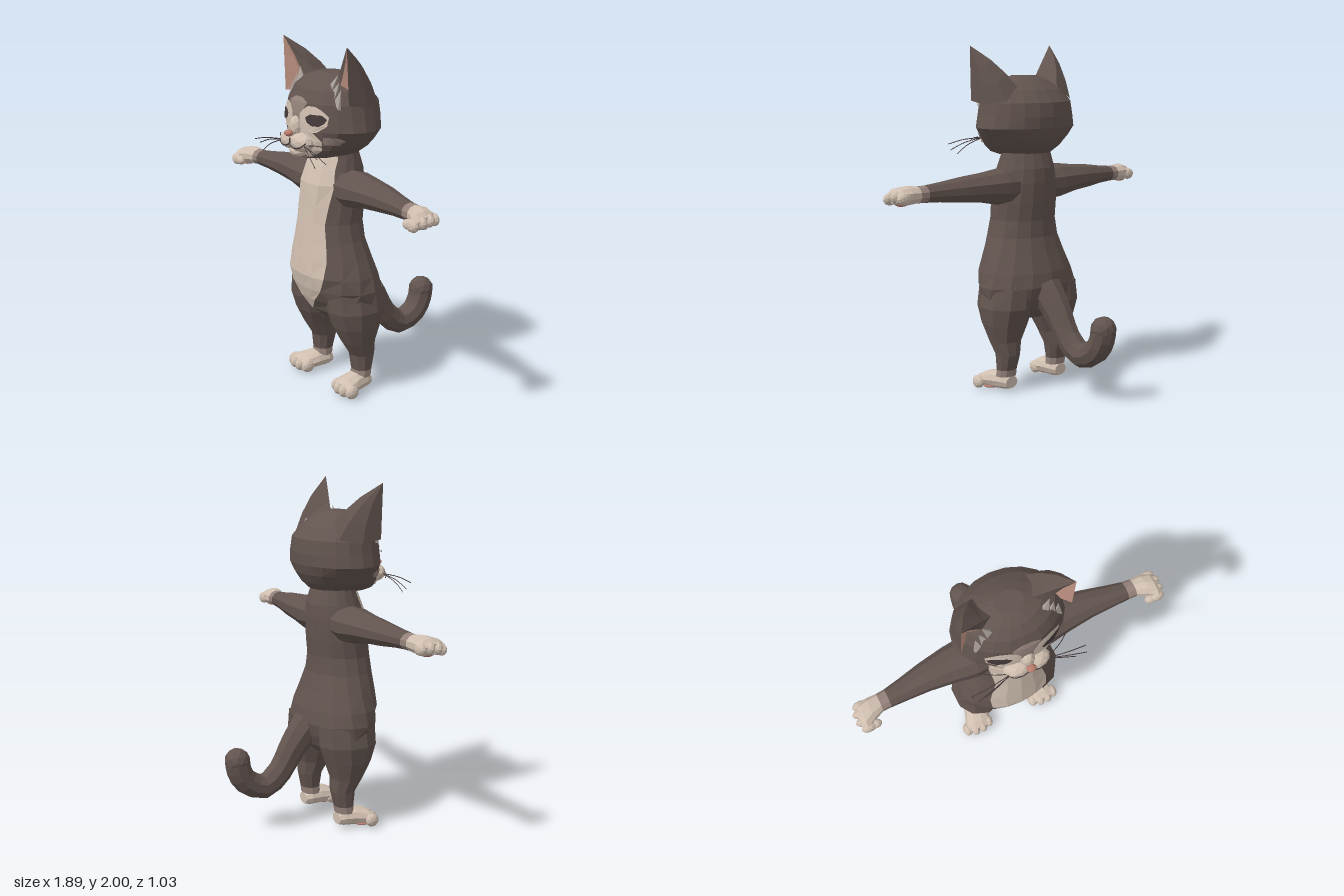
import * as THREE from 'three';

const flat = (name, color) => {
  const m = new THREE.MeshStandardMaterial({ color });
  m.name = name;
  return m;
};
const fur = flat('dark fur', 0x62544f);
const cream = flat('cream fur', 0xd0bfb0);
const taupe = flat('taupe markings', 0x94827a);
const pink = flat('inner ear pink', 0xc39585);
const nosePink = flat('nose pink', 0xb87c6c);
const dark = flat('eye and mouth dark', 0x453a3b);
const tuftGrey = flat('ear tuft grey', 0xa9a09a);
const V = (x, y, z) => new THREE.Vector3(x, y, z);

// Skin over rows of points, counter-clockwise about the row direction; one normal per facet.
function loft(rows, { closed = true, caps = false, from = 0, to = null } = {}) {
  const pos = [], n = rows[0].length, area = new THREE.Triangle();
  const tri = (a, b, c) => {
    if (area.set(a, b, c).getArea() > 1e-8) for (const p of [a, b, c]) pos.push(p.x, p.y, p.z);
  };
  const end = to ?? (closed ? n : n - 1);
  for (let i = 0; i < rows.length - 1; i++) for (let j = from; j < end; j++) {
    const k = (j + 1) % n;
    const a = rows[i][j], b = rows[i][k], c = rows[i + 1][k], d = rows[i + 1][j];
    if ((i + j) % 2) { tri(a, b, c); tri(a, c, d); } else { tri(a, b, d); tri(b, c, d); }
  }
  if (caps) for (const [row, top] of [[rows[0], false], [rows[rows.length - 1], true]]) {
    const mid = row.reduce((s, p) => s.add(p), V(0, 0, 0)).divideScalar(n);
    for (let j = 0; j < n; j++) {
      const a = row[j], b = row[(j + 1) % n];
      if (top) tri(mid, a, b); else tri(mid, b, a);
    }
  }
  return new THREE.BufferGeometry().setAttribute('position', new THREE.Float32BufferAttribute(pos, 3));
}

// Oval section across an axis; a and b are the next two axes in x, y, z order.
const circle = n => Array.from({ length: n }, (_, i) => (i / n) * Math.PI * 2);
function oval(axis, [p, a, ra, b, rb], angles) {
  const k = 'xyz'.indexOf(axis);
  return angles.map(t => {
    const v = V(0, 0, 0);
    v.setComponent(k, p);
    v.setComponent((k + 1) % 3, a + ra * Math.cos(t));
    v.setComponent((k + 2) % 3, b + rb * Math.sin(t));
    return v;
  });
}
const limb = (axis, rows, n) => loft(rows.map(r => oval(axis, r, circle(n))), { caps: true });
const blob = (x, y, z, rx, ry, rz) => new THREE.IcosahedronGeometry(1, 1).scale(rx, ry, rz).translate(x, y, z);
const wire = (pts, r) => new THREE.TubeGeometry(new THREE.CatmullRomCurve3(pts.map(p => V(...p))), 8, r, 4);

function mirrored(geo) {
  const g = geo.clone().scale(-1, 1, 1), p = g.attributes.position;
  for (let i = 0; i < p.count; i += 3) {
    const a = V().fromBufferAttribute(p, i + 1), b = V().fromBufferAttribute(p, i + 2);
    p.setXYZ(i + 1, b.x, b.y, b.z);
    p.setXYZ(i + 2, a.x, a.y, a.z);
  }
  return g;
}

// Head sections: y, half width, front z, back z
const HEAD = [
  [1.37, .10, .40, .12], [1.39, .17, .43, .05], [1.43, .23, .435, .01], [1.48, .275, .435, -.02],
  [1.535, .32, .435, -.037], [1.60, .305, .435, -.04], [1.68, .292, .425, -.03],
  [1.75, .25, .39, .03], [1.80, .17, .34, .10], [1.83, .08, .27, .15],
];
function headZ(x, y) {
  let i = 0;
  while (i < HEAD.length - 2 && y > HEAD[i + 1][0]) i++;
  const t = (y - HEAD[i][0]) / (HEAD[i + 1][0] - HEAD[i][0]);
  const [w, f, b] = [1, 2, 3].map(k => THREE.MathUtils.lerp(HEAD[i][k], HEAD[i + 1][k], t));
  return (f + b) / 2 + (f - b) / 2 * Math.sqrt(Math.max(0, 1 - (x / w) ** 2));
}
// Thin marking that follows the face; rows are y, x start, x end
const marking = (rows, off) => loft(rows.map(([y, x0, x1]) => Array.from({ length: 7 }, (_, i) => {
  const x = THREE.MathUtils.lerp(x0, x1, i / 6);
  return V(x, y, headZ(x, y) + off);
})), { closed: false });

export function createModel() {
  const model = new THREE.Group();
  model.name = 'cat';
  const add = (name, geo, mat) => {
    const g = geo.index ? geo.toNonIndexed() : geo;
    g.computeVertexNormals();
    const mesh = new THREE.Mesh(g, mat);
    mesh.name = name;
    model.add(mesh);
  };
  const pair = (name, geo, mat) => {
    const g = geo.index ? geo.toNonIndexed() : geo;
    add('left ' + name, g, mat);
    add('right ' + name, mirrored(g), mat);
  };

  // Torso: y, half width, front z, back z, half width of the pale bib
  const torso = [
    [.42, .12, .28, .08, .003], [.48, .26, .35, .01, .006], [.55, .32, .385, -.02, .07],
    [.62, .33, .41, -.035, .14], [.70, .31, .428, -.02, .175], [.80, .27, .42, .015, .18],
    [.90, .23, .41, .045, .16], [1.0, .205, .40, .05, .14], [1.10, .205, .39, .04, .15],
    [1.22, .20, .38, .035, .165], [1.30, .18, .35, .04, .145], [1.36, .165, .325, .06, .14],
    [1.42, .15, .30, .08, .12],
  ].map(([y, w, f, b, bib]) => {
    const a = Math.asin(bib / w), angles = [];
    for (let i = 0; i < 4; i++) angles.push(-a + a * i / 2);
    for (let i = 0; i < 12; i++) angles.push(a + (2 * Math.PI - 2 * a) * i / 12);
    return oval('y', [y, (f + b) / 2, (f - b) / 2, 0, w], angles);
  });
  add('chest bib', loft(torso, { to: 4 }), cream);
  add('torso', loft(torso, { from: 4 }), fur);
  add('torso underside', loft([torso[0].map(() => V(0, .41, .18)), torso[0]]), fur);

  // Legs and feet
  pair('leg', limb('y', [
    [.13, .15, .056, .20, .064], [.22, .145, .073, .195, .074], [.30, .17, .098, .195, .096],
    [.40, .18, .142, .188, .132], [.50, .18, .177, .183, .152], [.62, .18, .18, .17, .14],
  ], 10), fur);
  pair('ankle band', limb('y', [[.09, .155, .055, .2, .066], [.13, .15, .0565, .2, .065]], 10), taupe);
  pair('foot', limb('z', [
    [.105, .2, .045, .055, .035], [.14, .2, .062, .062, .052], [.21, .21, .075, .062, .055],
    [.28, .225, .088, .055, .045], [.315, .23, .08, .045, .034],
  ], 10), cream);
  [.158, .206, .256, .303].forEach((x, i) => {
    pair('foot toe ' + (i + 1), blob(x, .044, i % 3 ? .302 : .285, .028, .04, .042), cream);
  });
  pair('foot pad', blob(.225, .014, .255, .05, .014, .045), nosePink);

  // Arms and paws
  const arm = [
    [.10, 1.20, .095, .195, .11], [.22, 1.20, .106, .197, .125], [.35, 1.205, .085, .195, .107],
    [.50, 1.205, .072, .20, .084], [.63, 1.203, .056, .213, .066], [.73, 1.2, .048, .222, .054],
    [.78, 1.2, .047, .225, .052], [.84, 1.2, .054, .238, .066], [.89, 1.197, .048, .255, .08],
    [.92, 1.19, .028, .258, .06],
  ];
  pair('arm', limb('x', arm.slice(0, 6), 10), fur);
  pair('wrist band', limb('x', arm.slice(5, 7), 10), taupe);
  pair('paw', limb('x', arm.slice(6), 10), cream);
  [[.885, 1.19, .192], [.9, 1.195, .235], [.9, 1.19, .282], [.885, 1.178, .322]].forEach(([x, y, z], i) => {
    pair('paw finger ' + (i + 1), blob(x, y, z, .045, .036, .026), cream);
  });
  pair('paw thumb', blob(.845, 1.175, .318, .035, .028, .026), cream);
  pair('paw pad', blob(.865, 1.155, .25, .035, .014, .04), nosePink);

  // Tail
  const path = new THREE.CatmullRomCurve3([[.6, .03], [.53, -.03], [.45, -.09], [.33, -.165], [.255, -.27],
    [.3, -.38], [.38, -.428], [.435, -.437]].map(([y, z]) => V(0, y, z)));
  const X = V(1, 0, 0), tail = [];
  for (let i = 0; i <= 14; i++) {
    const c = path.getPoint(i / 14), side = path.getTangent(i / 14).cross(X);
    const r = i < 6 ? .1 - .005 * i : .073;
    tail.push(circle(9).map(t => c.clone().addScaledVector(X, r * Math.cos(t)).addScaledVector(side, r * Math.sin(t))));
  }
  add('tail', loft(tail, { caps: true }), fur);
  add('tail tip', blob(0, .435, -.437, .075, .075, .075), fur);

  // Head
  add('head', loft(HEAD.map(([y, w, f, b]) => oval('y', [y, (f + b) / 2, (f - b) / 2, 0, w], circle(20))), { caps: true }), fur);

  // Face markings and eyes
  pair('eye surround', marking([[1.53, .02, .15], [1.57, .02, .21], [1.62, .025, .215], [1.65, .06, .18], [1.67, .09, .14]], .006), cream);
  pair('eye', marking([[1.567, .125, .17], [1.585, .095, .2], [1.608, .085, .212], [1.628, .115, .185]], .012), dark);
  pair('muzzle patch', marking([[1.385, 0, .09], [1.43, 0, .16], [1.48, 0, .175], [1.54, 0, .11]], .005), cream);
  pair('cheek stripe', marking([[1.465, .18, .235], [1.49, .18, .265], [1.51, .19, .25]], .007), taupe);
  add('forehead blaze', marking([[1.55, -.035, .035], [1.62, -.035, .035], [1.65, -.06, .06], [1.685, -.085, .085], [1.71, -.03, .03]], .009), taupe);

  // Muzzle, nose, mouth and whiskers
  pair('muzzle', blob(.05, 1.465, .435, .085, .055, .06), cream);
  add('chin', blob(0, 1.412, .43, .065, .036, .045), cream);
  add('nose bridge', blob(0, 1.545, .435, .042, .065, .045), cream);
  add('nose', blob(0, 1.515, .49, .028, .019, .024), nosePink);
  pair('mouth line', wire([[0, 1.49, .482], [0, 1.46, .484], [.045, 1.44, .49], [.1, 1.45, .481], [.125, 1.475, .46]], .004), dark);
  [[.34, 1.4, .47], [.32, 1.43, .515], [.27, 1.37, .495], [.26, 1.46, .38]].forEach(([x, y, z], i) => {
    pair('whisker ' + (i + 1), wire([[.1, 1.46, .46], [(x + .12) / 2, (y + 1.475) / 2, (z + .475) / 2], [x, y, z]], .0025), dark);
  });

  // Ears: curved outer shell and hollow inside sharing the same rim
  const tip = V(.313, 2, .32);
  const earRows = (base, bulge) => [0, .3, .62, 1].map(t => base.map((p, i) => {
    const v = V(...p).lerp(tip, t), k = i > 0 && i < base.length - 1 ? bulge * Math.sin(Math.PI * t) : 0;
    return v.add(V(0, k * .5, -k));
  }));
  const outerRim = [.316, 1.69, .31], innerRim = [.105, 1.805, .235];
  pair('ear shell', loft(earRows([outerRim, [.318, 1.67, .19], [.25, 1.69, .08], [.155, 1.77, .095], innerRim], .022), { closed: false }), fur);
  const inside = earRows([innerRim, [.165, 1.745, .27], [.24, 1.69, .23], outerRim], .01);
  pair('ear inner edge', loft(inside, { closed: false, to: 1 }), fur);
  pair('ear inside', loft(inside, { closed: false, from: 1 }), pink);
  const tuft = [[.13, 1.77, .315], [.17, 1.74, .33], [.21, 1.70, .335], [.25, 1.66, .335]].map(p => V(...p));
  const tips = [[.19, 1.84, .29], [.21, 1.80, .30], [.235, 1.765, .305]];
  tips.forEach((p, i) => {
    const end = V(...p);
    const front = [tuft[i], tuft[i + 1]];
    const back = front.map(q => q.clone().add(V(0, 0, -.02))).reverse();
    pair('ear tuft ' + (i + 1), loft([[...front, ...back], [end, end, end, end]]), tuftGrey);
  });
  return model;
}
